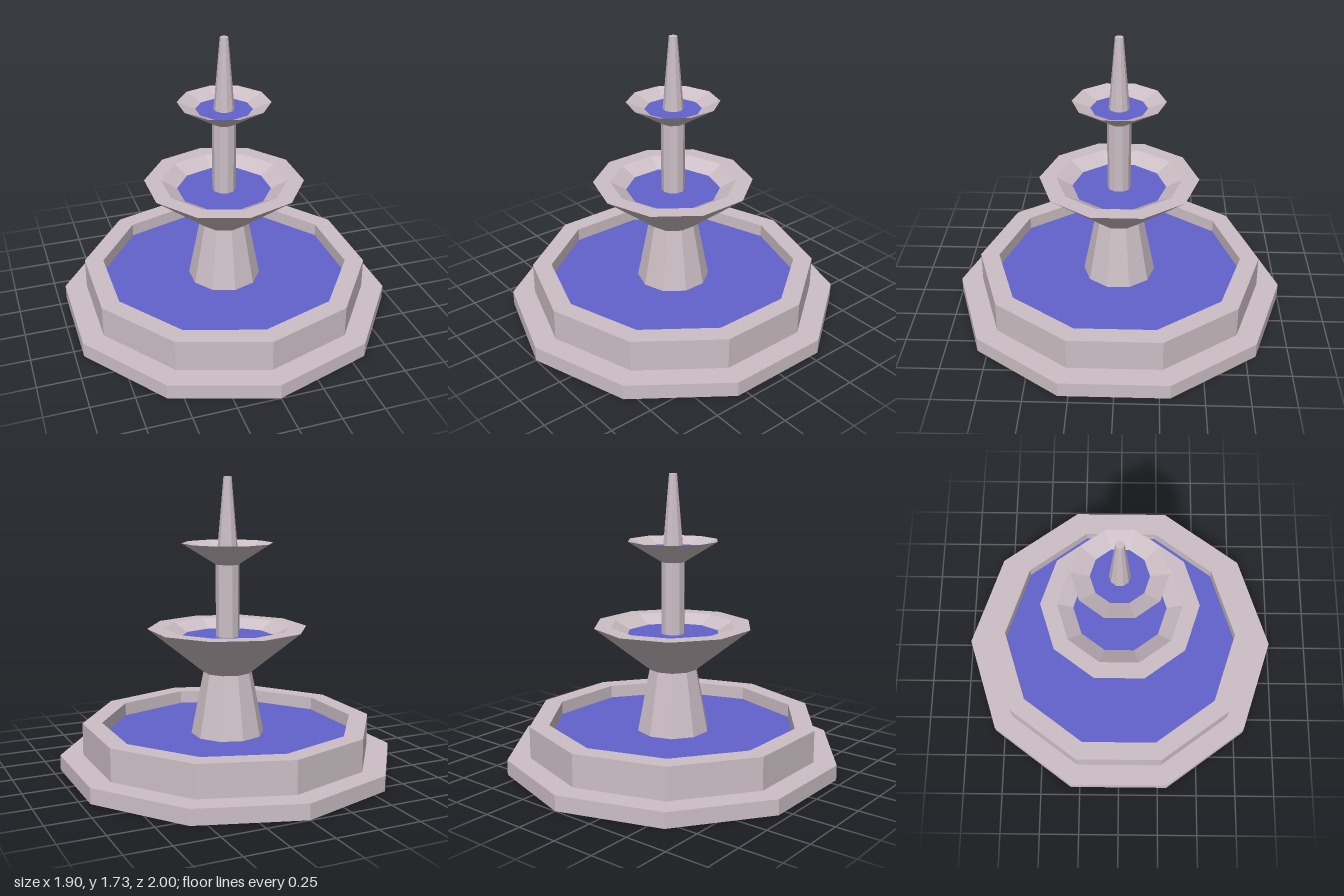
import * as THREE from 'three';

const SIDES = 10;
const stone = new THREE.MeshStandardMaterial({ color: 0xccbfc5, flatShading: true });
const waterBlue = new THREE.MeshStandardMaterial({ color: 0x6262cc, flatShading: true });

// Ten-sided turned part; profile of [radius, height] runs up the outside, then inward
function turned(name, profile) {
  const points = profile.map(([r, y]) => new THREE.Vector2(r, y));
  const mesh = new THREE.Mesh(new THREE.LatheGeometry(points, SIDES), stone);
  mesh.name = name;
  return mesh;
}

// Flat ten-sided water surface
function water(name, radius, y) {
  const geometry = new THREE.CircleGeometry(radius, SIDES, Math.PI / 2);
  geometry.rotateX(-Math.PI / 2);
  const mesh = new THREE.Mesh(geometry, waterBlue);
  mesh.position.y = y;
  mesh.name = name;
  return mesh;
}

export function createModel() {
  const fountain = new THREE.Group();
  fountain.name = 'fountain';
  fountain.add(
    // Stepped base with the pool wall
    turned('poolBasin', [[0, 0], [1, 0], [1, 0.09], [0.865, 0.09], [0.865, 0.28],
      [0.75, 0.28], [0.75, 0.09], [0, 0.09]]),
    water('poolWater', 0.75, 0.2),
    // Tapered pedestal
    turned('pedestal', [[0.24, 0.09], [0.145, 0.575]]),
    // Large middle bowl with a flat rim
    turned('middleBowl', [[0, 0.575], [0.145, 0.575], [0.475, 0.84], [0.375, 0.84], [0.27, 0.78], [0, 0.78]]),
    water('middleWater', 0.28, 0.787),
    // Upper column
    turned('column', [[0.07, 0.75], [0.07, 1.215]]),
    // Small top bowl
    turned('topBowl', [[0, 1.215], [0.07, 1.215], [0.27, 1.34], [0.16, 1.295], [0, 1.295]]),
    water('topWater', 0.165, 1.298),
    // Pointed spout
    turned('spout', [[0.062, 1.28], [0.024, 1.725], [0, 1.725]]),
  );
  return fountain;
}
